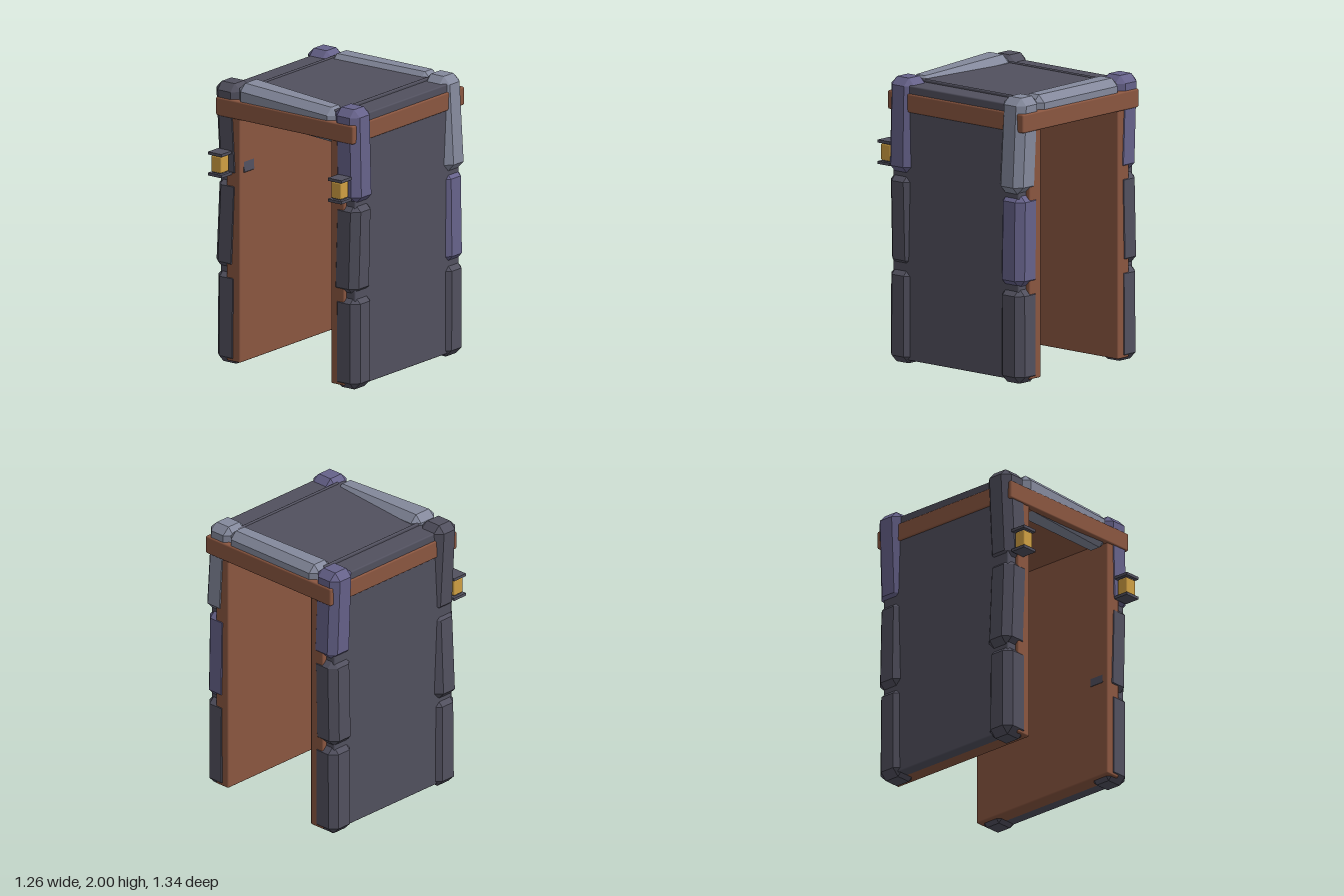
import * as THREE from 'three';
import { RoundedBoxGeometry } from 'three/addons/geometries/RoundedBoxGeometry.js';
import { ConvexGeometry } from 'three/addons/geometries/ConvexGeometry.js';

const paint = (name, color) => {
  const m = new THREE.MeshStandardMaterial({ color });
  m.name = name;
  return m;
};

export function createModel() {
  const dark = paint('darkSlate', 0x51505e);
  const purple = paint('purpleStone', 0x66628a);
  const grey = paint('paleStone', 0x84899c);
  const wood = paint('brownWood', 0x8a5640);
  const gold = paint('lanternGlow', 0xcf9f42);
  const model = new THREE.Group();
  model.name = 'stoneShelter';

  const add = (name, geo, mat, parent = model) => {
    const mesh = new THREE.Mesh(geo, mat);
    mesh.name = name;
    parent.add(mesh);
    return mesh;
  };

  // Softly rounded box given by its extents
  const slab = (name, mat, [x0, x1], [y0, y1], [z0, z1], r = 0.01, parent = model) => {
    const geo = new RoundedBoxGeometry(x1 - x0, y1 - y0, z1 - z0, 2, r);
    geo.translate((x0 + x1) / 2, (y0 + y1) / 2, (z0 + z1) / 2);
    return add(name, geo, mat, parent);
  };

  // Chamfered stone running between two end points, along y or along x;
  // half sizes u and v are given for each end
  const stone = (name, mat, a, b, sizeA, sizeB, alongX = false) => {
    const A = new THREE.Vector3(...a), B = new THREE.Vector3(...b);
    const c = 0.05, k = c / A.distanceTo(B), pts = [];
    for (const [t, end] of [[0, true], [k, false], [1 - k, false], [1, true]]) {
      const p = A.clone().lerp(B, t);
      const u = THREE.MathUtils.lerp(sizeA[0], sizeB[0], t);
      const v = THREE.MathUtils.lerp(sizeA[1], sizeB[1], t);
      const corners = end ? [[u - c, v - c]] : [[u, v - c], [u - c, v]];
      for (const [cu, cv] of corners)
        for (const su of [-1, 1])
          for (const sv of [-1, 1])
            pts.push(alongX
              ? new THREE.Vector3(p.x, p.y + su * cu, p.z + sv * cv)
              : new THREE.Vector3(p.x + su * cu, p.y, p.z + sv * cv));
    }
    return add(name, new ConvexGeometry(pts), mat);
  };

  // Walls: wooden lining inside, slate outside; beams along the eaves
  for (const s of [-1, 1]) {
    const span = (a, b) => (s > 0 ? [a, b] : [-b, -a]);
    slab('wallLining', wood, span(0.39, 0.505), [0.03, 1.86], [-0.655, 0.552]);
    slab('wallSlate', dark, span(0.49, 0.58), [0.03, 1.9], [-0.62, 0.525]);
    slab('sideBeam', wood, span(0.53, 0.59), [1.75, 1.88], [-0.667, 0.54], 0.012);
    slab('roofEdge', dark, span(0.41, 0.58), [1.86, 1.935], [-0.6, 0.5]);
    slab('roofSeam', dark, span(0.4, 0.42), [1.88, 1.955], [-0.55, 0.44]);
  }
  slab('frontBeam', wood, [-0.59, 0.59], [1.75, 1.88], [0.51, 0.565], 0.012);
  slab('backBeam', wood, [-0.59, 0.59], [1.75, 1.88], [-0.67, -0.615], 0.012);

  // Roof
  slab('ceiling', wood, [-0.5, 0.5], [1.76, 1.87], [-0.64, 0.54]);
  slab('roofSlate', dark, [-0.415, 0.415], [1.85, 1.945], [-0.6, 0.5]);

  // Corner pillars, three stones each: colour, bottom x, top x
  const pillars = {
    frontLeft: [0.453, [[dark, 0.505, 0.505], [dark, 0.492, 0.51], [purple, 0.516, 0.5]]],
    frontRight: [0.453, [[dark, -0.51, -0.505], [dark, -0.522, -0.493], [dark, -0.488, -0.526]]],
    backLeft: [-0.556, [[dark, 0.505, 0.505], [purple, 0.508, 0.498], [grey, 0.525, 0.485]]],
    backRight: [-0.556, [[dark, -0.508, -0.505], [dark, -0.515, -0.5], [purple, -0.495, -0.522]]],
  };
  const levels = [[0.005, 0.665], [0.67, 1.315], [1.32, 1.98]];
  for (const [corner, [z, stones]] of Object.entries(pillars))
    stones.forEach(([mat, xb, xt], i) => {
      const [y0, y1] = levels[i];
      stone(corner + 'PillarStone', mat, [xb, y0, z], [xt, y1, z],
        [0.105, 0.105], [0.105, 0.103]);
    });

  // Lintel stones along the front and back edges of the roof
  stone('frontLintelStone', grey, [-0.43, 1.885, 0.443], [0.41, 1.838, 0.468],
    [0.118, 0.114], [0.122, 0.088], true);
  stone('backLintelStone', grey, [-0.43, 1.868, -0.558], [0.41, 1.868, -0.568],
    [0.108, 0.102], [0.108, 0.09], true);

  // Lanterns on the front pillars
  for (const s of [-1, 1]) {
    const lantern = new THREE.Group();
    lantern.name = 'lantern';
    lantern.position.set(s * 0.515, 1.435, 0.612);
    model.add(lantern);
    for (const e of [-1, 1]) {
      const plate = add('lanternPlate', new THREE.BoxGeometry(0.115, 0.02, 0.115), dark, lantern);
      plate.position.y = e * 0.074;
      const neck = add('lanternNeck', new THREE.BoxGeometry(0.07, 0.014, 0.07), dark, lantern);
      neck.position.y = e * 0.06;
    }
    slab('lanternGlass', gold, [-0.043, 0.043], [-0.057, 0.057], [-0.043, 0.043], 0.008, lantern);
  }
  return model;
}
